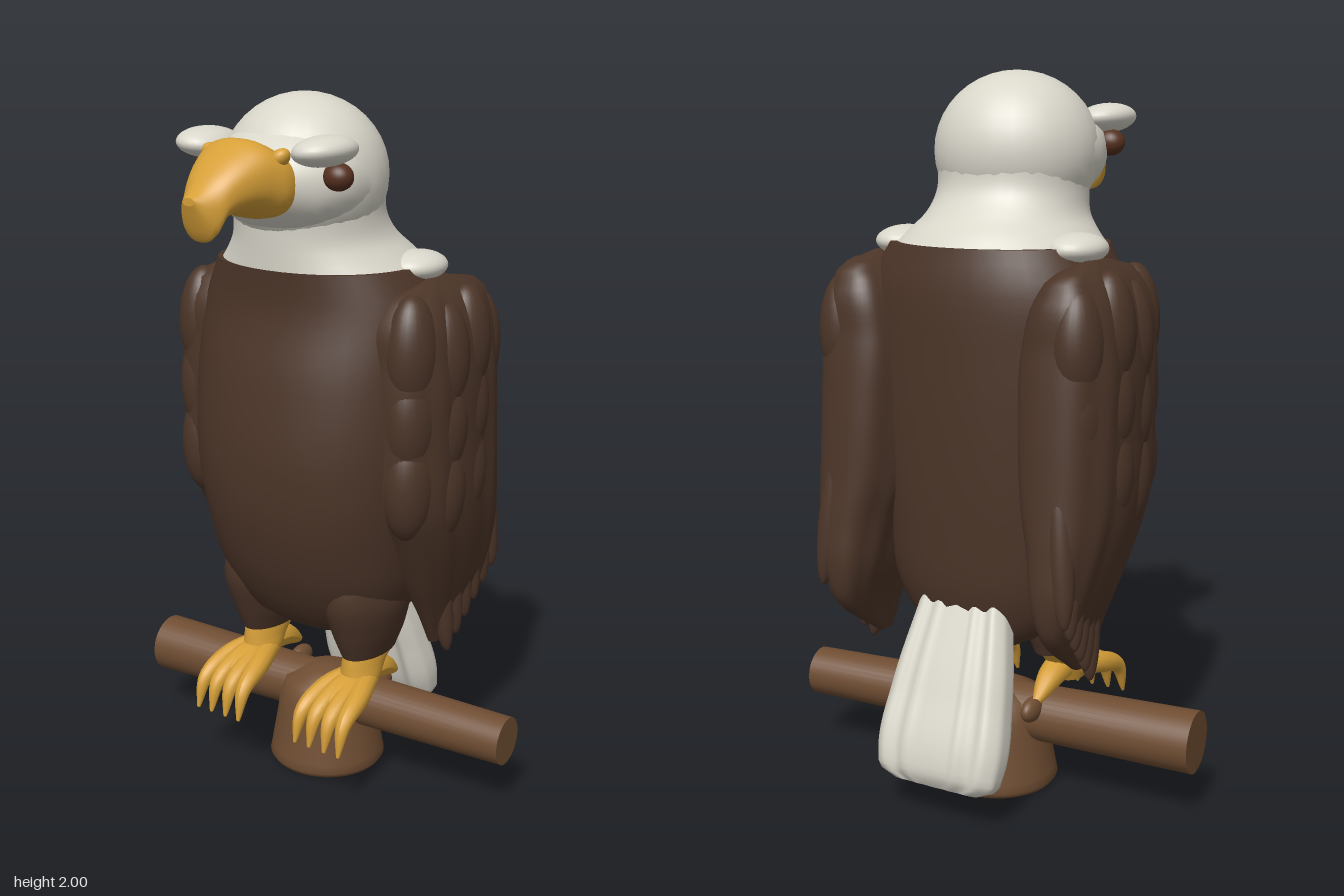
import * as THREE from 'three';

const material = (name, color) => {
  const m = new THREE.MeshStandardMaterial({ color });
  m.name = name;
  return m;
};

// Closed smooth solid through sections [height, xMin, xMax, zMin, zMax]; bump(|cos|, sin) scales the outline
function loft(sections, { steps = 28, sides = 40, power = 1, bump = () => [1, 1] } = {}) {
  const curve = new THREE.CubicInterpolant(
    sections.map((s) => s[0]), sections.flatMap((s) => s.slice(1)), 4, new Float32Array(4));
  const lo = sections[0][0], hi = sections[sections.length - 1][0];
  const pos = [], index = [];
  const ring = (f) => {
    const y = lo + (hi - lo) * f;
    const [x0, x1, z0, z1] = curve.evaluate(y);
    for (let j = 0; j < sides; j++) {
      const a = (j / sides) * Math.PI * 2, c = Math.cos(a), s = Math.sin(a);
      const [bx, bz] = bump(Math.abs(c), s);
      pos.push((x0 + x1) / 2 + (x1 - x0) / 2 * Math.sign(c) * Math.abs(c) ** power * bx, y,
        (z0 + z1) / 2 + (z1 - z0) / 2 * Math.sign(s) * Math.abs(s) ** power * bz);
    }
    return [(x0 + x1) / 2, y, (z0 + z1) / 2];
  };
  for (let i = 0; i <= steps; i++) ring(i / steps);
  for (let i = 0; i < steps; i++) {
    for (let j = 0; j < sides; j++) {
      const a = i * sides + j, b = i * sides + (j + 1) % sides;
      index.push(a, a + sides, b, b, a + sides, b + sides);
    }
  }
  // End caps on their own vertices so the edges stay crisp
  for (const f of [0, 1]) {
    const start = pos.length / 3;
    const centre = ring(f);
    pos.push(...centre);
    for (let j = 0; j < sides; j++) {
      const a = start + j, b = start + (j + 1) % sides, c = start + sides;
      index.push(c, f ? b : a, f ? a : b);
    }
  }
  const g = new THREE.BufferGeometry();
  g.setAttribute('position', new THREE.Float32BufferAttribute(pos, 3));
  g.setIndex(index);
  g.computeVertexNormals();
  return g;
}

// Loft running forward along z, sections [z, halfWidth, top, bottom]
const forwardLoft = (sections, power) =>
  loft(sections.map(([z, r, top, bottom]) => [z, -r, r, -top, -bottom]), { power }).rotateX(Math.PI / 2);

// Tube along points, narrowing from r0 to r1
function taperTube(points, r0, r1) {
  const curve = new THREE.CatmullRomCurve3(points.map((p) => new THREE.Vector3(...p)));
  const n = 18, sides = 12;
  const g = new THREE.TubeGeometry(curve, n, 1, sides);
  const p = g.attributes.position, v = new THREE.Vector3();
  for (let i = 0; i < p.count; i++) {
    const t = Math.floor(i / (sides + 1)) / n, c = curve.getPointAt(t);
    v.fromBufferAttribute(p, i).sub(c).multiplyScalar(r0 + (r1 - r0) * t ** 2.5).add(c);
    p.setXYZ(i, v.x, v.y, v.z);
  }
  g.computeVertexNormals();
  return g;
}

export function createModel() {
  const model = new THREE.Group();
  const brown = material('brown feathers', 0x4c3528);
  const white = material('white feathers', 0xd9d6ca);
  const gold = material('golden skin', 0xd69f38);
  const wood = material('perch wood', 0x6f4d32);
  const eyeBrown = material('eye brown', 0x55301f);

  const add = (name, geometry, mat, parent = model) => {
    const m = new THREE.Mesh(geometry, mat);
    m.name = name;
    parent.add(m);
    return m;
  };
  const ball = (name, mat, [x, y, z], [rx, ry, rz], parent = model) => {
    const m = add(name, new THREE.SphereGeometry(1, 28, 20), mat, parent);
    m.position.set(x, y, z);
    m.scale.set(rx, ry, rz);
    return m;
  };
  const sym = ([y, r, zb, zf]) => [y, -r, r, zb, zf];

  // Body and white neck meet at a level line
  add('body', loft([
    [0.44, 0.1, -0.28, -0.04], [0.5, 0.22, -0.3, 0.065], [0.6, 0.29, -0.33, 0.14], [0.8, 0.335, -0.35, 0.215],
    [1.0, 0.36, -0.36, 0.24], [1.25, 0.37, -0.365, 0.215], [1.45, 0.355, -0.362, 0.175], [1.55, 0.3, -0.345, 0.18],
  ].map(sym), { power: 0.9 }), brown);
  add('neck', loft([
    [1.55, 0.285, -0.335, 0.18], [1.58, 0.255, -0.31, 0.182], [1.62, 0.222, -0.265, 0.185],
    [1.68, 0.207, -0.215, 0.19], [1.78, 0.215, -0.2, 0.21],
  ].map(sym), { power: 0.95 }), white);
  ball('head', white, [0, 1.785, 0.01], [0.228, 0.215, 0.222]);
  add('face', forwardLoft([
    [0, 0.226, 1.93, 1.63], [0.1, 0.222, 1.93, 1.64], [0.17, 0.195, 1.915, 1.655],
    [0.22, 0.155, 1.888, 1.682], [0.238, 0.138, 1.875, 1.695],
  ], 0.95), white);
  ball('undertail', brown, [0, 0.42, -0.275], [0.12, 0.125, 0.05]).rotation.x = 0.34;

  // Hooked beak
  add('beak', forwardLoft([
    [0.23, 0.138, 1.875, 1.695], [0.26, 0.138, 1.89, 1.697], [0.3, 0.123, 1.902, 1.71], [0.36, 0.098, 1.872, 1.72],
    [0.41, 0.075, 1.832, 1.705], [0.44, 0.06, 1.803, 1.66], [0.46, 0.045, 1.787, 1.69], [0.486, 0.018, 1.775, 1.755],
  ], 0.85), gold);

  // Tail: ridged plate with five feather ends
  const tailMesh = add('tail', loft([
    [-0.51, 0.13, -0.02, 0.015], [-0.495, 0.168, -0.04, 0.035], [-0.45, 0.187, -0.06, 0.055],
    [-0.25, 0.178, -0.064, 0.062], [0, 0.135, -0.05, 0.05],
  ].map(sym), {
    sides: 100, power: 0.5,
    bump: (c) => [1, 1 + 0.12 * Math.cos(c ** 0.5 * Math.PI * 5)],
  }), white);
  tailMesh.position.set(0, 0.58, -0.268);
  tailMesh.rotation.x = 0.34;

  for (const s of [1, -1]) {
    const side = s > 0 ? 'left' : 'right';
    ball(side + 'Brow', white, [s * 0.188, 1.872, 0.18], [0.076, 0.04, 0.102]).rotation.z = s * 0.1;
    ball(side + 'Eye', eyeBrown, [s * 0.211, 1.807, 0.155], [0.042, 0.036, 0.036]);
    ball(side + 'BeakCorner', gold, [s * 0.108, 1.855, 0.262], [0.032, 0.022, 0.026]).rotation.z = s * 0.7;
    ball(side + 'ShoulderRuff', white, [s * 0.262, 1.545, -0.14], [0.08, 0.042, 0.1]);

    // Folded wing shell
    const wing = new THREE.Group();
    wing.name = side + 'Wing';
    model.add(wing);
    add('wingShell', loft([
      [0.43, 0.3, 0.33, -0.24, -0.18], [0.55, 0.28, 0.365, -0.4, -0.11], [0.65, 0.25, 0.395, -0.435, -0.05],
      [0.8, 0.22, 0.43, -0.43, 0.03], [0.9, 0.19, 0.442, -0.42, 0.08], [1.1, 0.17, 0.445, -0.405, 0.095],
      [1.3, 0.17, 0.442, -0.385, 0.095], [1.45, 0.22, 0.41, -0.36, 0.07], [1.5, 0.27, 0.37, -0.31, 0.01],
      [1.52, 0.31, 0.34, -0.2, -0.1],
    ].map(([y, a, b, z0, z1]) => [y, s > 0 ? a : -b, s > 0 ? b : -a, z0, z1]), {
      steps: 48, sides: 72, power: 0.75,
      bump: (c, sn) => [1 + 0.03 * Math.cos(sn * 14), 1],
    }), brown, wing);

    // Soft coverts mostly sunk into the outer face
    for (let row = 0; row < 3; row++) {
      for (let k = 0; k < 4; k++) {
        const edge = k === 0 || k === 3;
        ball('covert', brown, [s * (edge ? 0.352 : 0.385), 1.34 - row * 0.18 - (k % 2) * 0.03, 0.02 - k * 0.11],
          [0.07, 0.16, 0.08], wing);
      }
    }
    // Long flight feathers with stepped tips
    for (let k = 0; k < 6; k++) {
      const f = k / 5;
      const m = ball('flightFeather', brown, [s * (0.355 - 0.025 * f), 0.82 - 0.21 * f, -0.395 + 0.2 * f],
        [0.035, 0.215, 0.036], wing);
      m.rotation.set(0.1, 0, s * 0.1);
    }

    // Feathered thigh and bare ankle
    const x = s * 0.18;
    const limb = ([y, r, zb, zf]) => [y, x - r, x + r, zb, zf];
    add(side + 'Thigh', loft([
      [0.42, 0.06, -0.17, 0.05], [0.5, 0.088, -0.2, 0.085], [0.6, 0.105, -0.21, 0.118], [0.75, 0.06, -0.15, 0.1],
    ].map(limb)), brown);
    add(side + 'Ankle', loft([
      [0.31, 0.045, -0.06, 0.03], [0.35, 0.055, -0.085, 0.05], [0.39, 0.054, -0.12, 0.05], [0.42, 0.055, -0.165, 0.047],
    ].map(limb)), gold);

    // Broad foot, four front toes with curved claws, one hind toe
    ball(side + 'Foot', gold, [x, 0.328, 0.05], [0.068, 0.04, 0.1]).rotation.x = 0.25;
    for (const d of [-0.072, -0.025, 0.025, 0.072]) {
      add(side + 'Toe', taperTube([
        [x + d * 0.3, 0.345, -0.02], [x + d * 0.8, 0.328, 0.08], [x + d, 0.288, 0.17], [x + d * 1.05, 0.2, 0.202],
      ], 0.034, 0.005), gold);
    }
    add(side + 'HindToe', taperTube([[x, 0.36, -0.02], [x, 0.34, -0.12], [x, 0.295, -0.2]], 0.042, 0.012), gold);
    ball(side + 'PerchKnot', wood, [s * 0.15, 0.255, -0.17], [0.025, 0.035, 0.05]);
  }

  // Slanted perch branch, thicker at one end
  const a = new THREE.Vector3(-0.603, 0.215, -0.066), b = new THREE.Vector3(0.603, 0.215, -0.14);
  const branch = add('perchBranch', new THREE.CylinderGeometry(0.07, 0.087, a.distanceTo(b), 32), wood);
  branch.position.copy(a).add(b).multiplyScalar(0.5);
  branch.quaternion.setFromUnitVectors(new THREE.Vector3(0, 1, 0), b.clone().sub(a).normalize());

  // Stump under the perch
  const stump = add('perchStump', new THREE.LatheGeometry([
    [0, 0], [0.165, 0], [0.175, 0.015], [0.17, 0.04], [0.15, 0.16], [0.145, 0.21], [0.125, 0.26], [0.06, 0.293], [0, 0.297],
  ].map((p) => new THREE.Vector2(...p)), 40), wood);
  stump.position.z = -0.105;

  return model;
}
